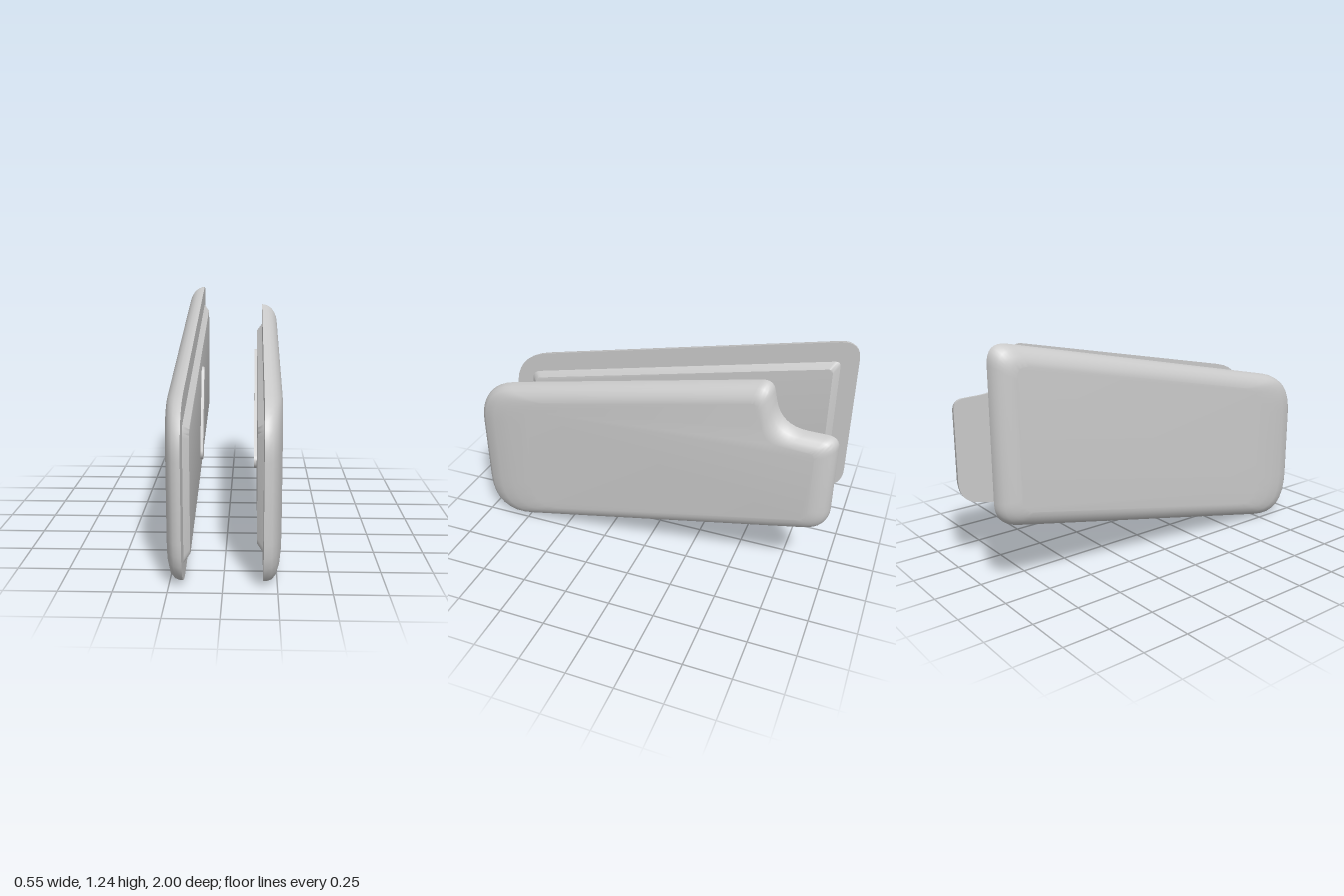
import * as THREE from 'three';
import { toCreasedNormals } from 'three/addons/utils/BufferGeometryUtils.js';

const grey = new THREE.MeshStandardMaterial({ color: 0xcccccc });

// Outline corners as [z, y, corner cut, inset of the edge that follows].
const FRONT = 0.3, EDGE = 0.085;
const plainOutline = [
  [1, -0.05, 0.28, FRONT], [1, 0.83, 0.22, EDGE],
  [-1, 1.262, 0.11, 0.1], [-1, 0.384, 0.11, EDGE],
];
const notchedOutline = [
  [1, -0.05, 0.28, FRONT], [1, 0.83, 0.22, EDGE],
  [-0.655, 1.168, 0.06, 0.07], [-0.705, 0.925, 0.14, 0.07],
  [-1, 0.918, 0.06, 0.1], [-1, 0.384, 0.11, EDGE],
];
const plainTray = [
  [0.89, 0.08, 0.05, 0.03], [0.89, 0.742, 0.05, 0.03],
  [-0.91, 1.135, 0.03, 0.03], [-0.91, 0.472, 0.03, 0.03],
];
const notchedTray = [
  [0.86, 0.12, 0.05, 0.03], [0.86, 0.745, 0.05, 0.03],
  [-0.6, 1.045, 0.03, 0.03], [-0.6, 0.44, 0.03, 0.03],
];

// Moves every edge inward by its own inset, then rounds the corners.
function ring(corners, insetOf, cutScale, steps = 8) {
  const n = corners.length;
  const P = corners.map(c => new THREE.Vector2(c[0], c[1]));
  const lines = P.map((p, i) => {
    const d = P[(i + 1) % n].clone().sub(p).normalize();
    const inward = new THREE.Vector2(-d.y, d.x);
    return { p: p.clone().addScaledVector(inward, insetOf(corners[i][3])), d };
  });
  const Q = lines.map((l, i) => {
    const k = lines[(i + n - 1) % n];
    const t = l.p.clone().sub(k.p).cross(l.d) / k.d.cross(l.d);
    return k.p.clone().addScaledVector(k.d, t);
  });
  return Q.flatMap((q, i) => {
    const cut = corners[i][2] * cutScale;
    const a = q.clone().addScaledVector(lines[(i + n - 1) % n].d, -cut);
    const b = q.clone().addScaledVector(lines[i].d, cut);
    return new THREE.QuadraticBezierCurve(a, q, b).getPoints(steps);
  });
}

// Skins a stack of rings at distances xs from the centre and caps both ends.
function stack(name, side, rings, xs) {
  const n = rings[0].length, pos = [], idx = [];
  rings.forEach((r, k) => r.forEach(p => pos.push(side * xs[k], p.y, p.x)));
  const flip = side * (xs[xs.length - 1] - xs[0]) < 0;
  const tri = (a, b, c) => (flip ? idx.push(a, c, b) : idx.push(a, b, c));
  for (let k = 0; k < rings.length - 1; k++) {
    for (let i = 0; i < n; i++) {
      const j = (i + 1) % n, a = k * n, b = a + n;
      tri(a + i, b + i, b + j);
      tri(a + i, b + j, a + j);
    }
  }
  const last = (rings.length - 1) * n;
  THREE.ShapeUtils.triangulateShape(rings[0], []).forEach(([a, b, c]) => tri(a, b, c));
  THREE.ShapeUtils.triangulateShape(rings[rings.length - 1], [])
    .forEach(([a, b, c]) => tri(last + a, last + c, last + b));
  const geo = new THREE.BufferGeometry();
  geo.setAttribute('position', new THREE.Float32BufferAttribute(pos, 3));
  geo.setIndex(idx);
  const mesh = new THREE.Mesh(toCreasedNormals(geo, 0.7), grey);
  mesh.name = name;
  return mesh;
}

// Shell with a softly rounded outer face; the wide front edge tapers slowly.
function shell(side, outline) {
  const profile = [[0, 0.185], [0.02, 0.2], [0.1, 0.222], [0.25, 0.242], [0.5, 0.259], [0.75, 0.269], [1, 0.274]];
  const rings = profile.map(([f]) =>
    ring(outline, w => w * (w === FRONT ? Math.pow(f, 1.6) : f), 1 - 0.4 * f));
  return stack('outerShell', side, rings, profile.map(p => p[1]));
}

// Raised inner plate with bevelled edges.
function tray(side, corners) {
  return stack('innerPlate', side,
    [ring(corners, () => 0, 1, 4), ring(corners, w => w, 0.8, 4)], [0.184, 0.155]);
}

// Round-ended strip between two [z, y] points on the inner plate.
function strip(side, [z0, y0], [z1, y1], radius) {
  const pts = [], dir = Math.atan2(y1 - y0, z1 - z0);
  for (let end = 0; end < 2; end++) {
    for (let i = 0; i <= 10; i++) {
      const a = dir + Math.PI * (end + 0.5 + i / 10);
      pts.push(new THREE.Vector2(
        (end ? z1 : z0) + radius * Math.cos(a), (end ? y1 : y0) + radius * Math.sin(a)));
    }
  }
  return stack('innerStrip', side, [pts, pts], [0.156, 0.14]);
}

export function createModel() {
  const model = new THREE.Group();
  model.name = 'sidePanels';

  const right = new THREE.Group();
  right.name = 'rightPanel';
  right.add(shell(-1, plainOutline), tray(-1, plainTray),
    strip(-1, [0.06, 0.4], [-0.11, 0.81], 0.04));

  const left = new THREE.Group();
  left.name = 'leftPanel';
  left.add(shell(1, notchedOutline), tray(1, notchedTray),
    strip(1, [0.15, 0.38], [-0.48, 0.86], 0.04));

  model.add(right, left);
  return model;
}
